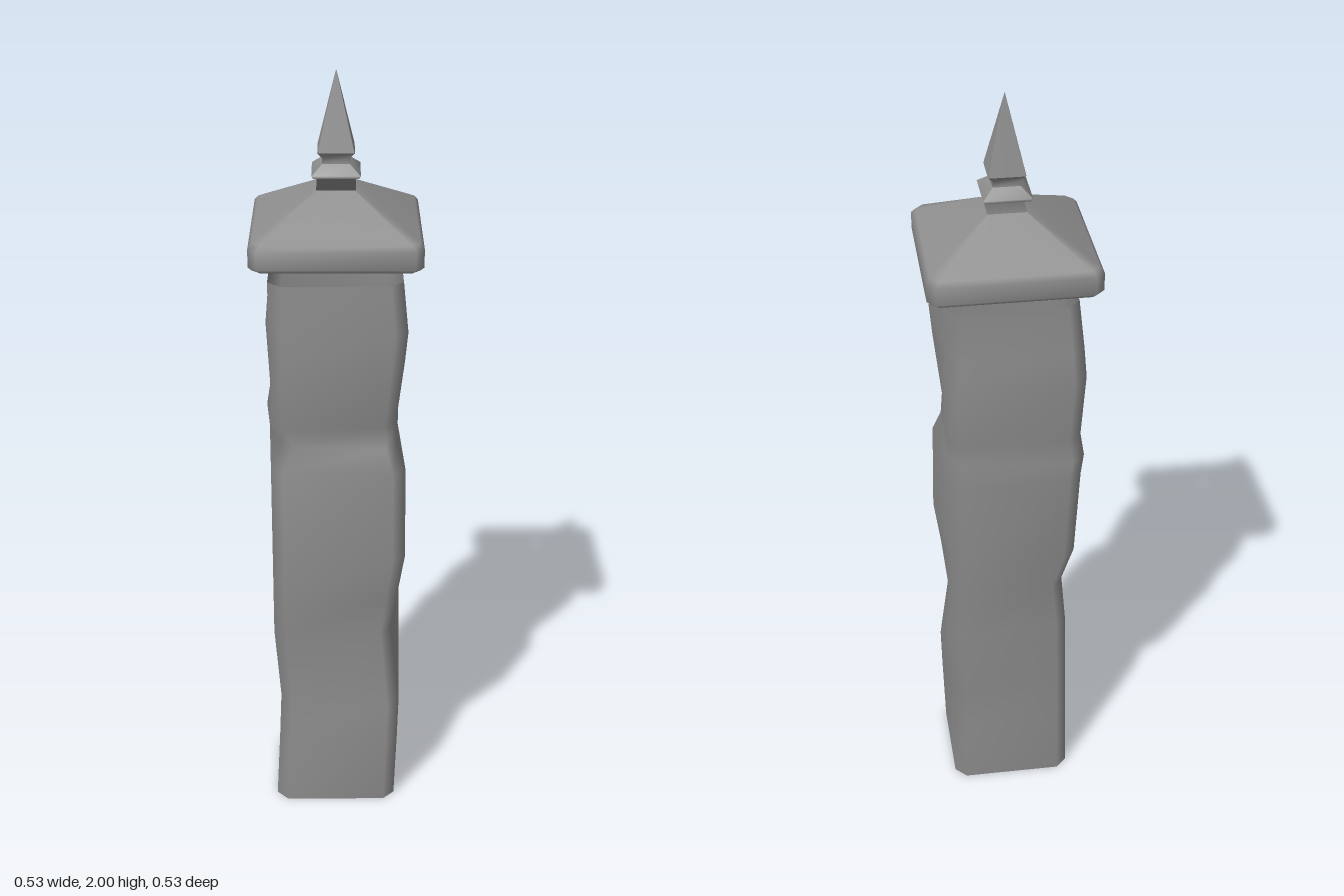
import * as THREE from 'three';

const YAW = THREE.MathUtils.degToRad(28);
// Corner signs in the order front, left (+x), back, right (-x)
const CORNERS = [[1, 1], [1, -1], [-1, -1], [-1, 1]];

// Rectangular ring with chamfered corners; scales holds one radial factor per corner.
function ringAt(halfU, halfV, chamfer, y, scales = [1, 1, 1, 1]) {
  return CORNERS.flatMap(([su, sv], k) => {
    const corner = [[halfU - chamfer, halfV], [halfU, halfV - chamfer]];
    if (k % 2) corner.reverse();
    return corner.map(([u, v]) => new THREE.Vector3(
      scales[k] * (su * u * Math.cos(YAW) - sv * v * Math.sin(YAW)),
      y,
      scales[k] * (su * u * Math.sin(YAW) + sv * v * Math.cos(YAW))
    ));
  });
}

// Skin a stack of rings, listed from bottom to top, leaving both ends open.
function loft(rings) {
  const n = rings[0].length;
  const index = [];
  for (let r = 0; r < rings.length - 1; r++) {
    for (let i = 0; i < n; i++) {
      const j = (i + 1) % n;
      const a = r * n + i, b = r * n + j;
      index.push(a, b, b + n, a, b + n, a + n);
    }
  }
  const geometry = new THREE.BufferGeometry().setFromPoints(rings.flat());
  geometry.setIndex(index);
  geometry.computeVertexNormals();
  return geometry;
}

function part(name, rings) {
  const material = new THREE.MeshStandardMaterial({ color: 0x8e8e8e, side: THREE.DoubleSide });
  const mesh = new THREE.Mesh(loft(rings), material);
  mesh.name = name;
  return mesh;
}

export function createModel() {
  const model = new THREE.Group();
  model.name = 'stonePost';

  // Worn shaft: height, then the reach of the front, left, back and right corners
  const wear = [
    [0, 0.19, 0.195, 0.19, 0.2],
    [0.2, 0.197, 0.193, 0.185, 0.188],
    [0.32, 0.2, 0.191, 0.182, 0.181],
    [0.54, 0.17, 0.212, 0.176, 0.2],
    [0.66, 0.19, 0.198, 0.16, 0.2],
    [0.78, 0.21, 0.191, 0.195, 0.2],
    [1.03, 0.205, 0.2, 0.207, 0.2],
    [1.09, 0.18, 0.187, 0.214, 0.165],
    [1.15, 0.175, 0.199, 0.203, 0.2],
    [1.32, 0.197, 0.202, 0.214, 0.195],
    [1.4, 0.205, 0.19, 0.206, 0.199],
    [1.525, 0.19, 0.195, 0.19, 0.2]
  ];
  model.add(part('shaft', wear.map(([y, front, left, back, right]) =>
    ringAt(0.162, 0.1465, 0.03, y,
      [front / 0.191, left / 0.198, back / 0.191, right / 0.198]))));

  // Hollow sloping cap: half width, chamfer, height
  const cap = [
    [0.196, 0.02, 1.577], [0.2045, 0.02, 1.587], [0.2045, 0.02, 1.63],
    [0.195, 0.02, 1.643], [0.047, 0.004, 1.727]
  ];
  model.add(part('cap', cap.map(([h, c, y]) => ringAt(h, h, c, y))));

  // Flared foot and spike, smooth round the corners with a sharp step between them
  const foot = [[0.054, 1.757], [0.058, 1.765], [0.033, 1.787]];
  const neck = [[0.033, 1.787], [0.032, 1.8], [0.044, 1.815]];
  const tip = [[0.044, 1.815], [0.0005, 2]];
  const finial = new THREE.Group();
  finial.name = 'finial';
  Object.entries({ foot, neck, tip }).forEach(([name, profile]) => {
    finial.add(part(name, profile.map(([h, y]) => ringAt(h, h, h * 0.03, y))));
  });
  model.add(finial);

  return model;
}
